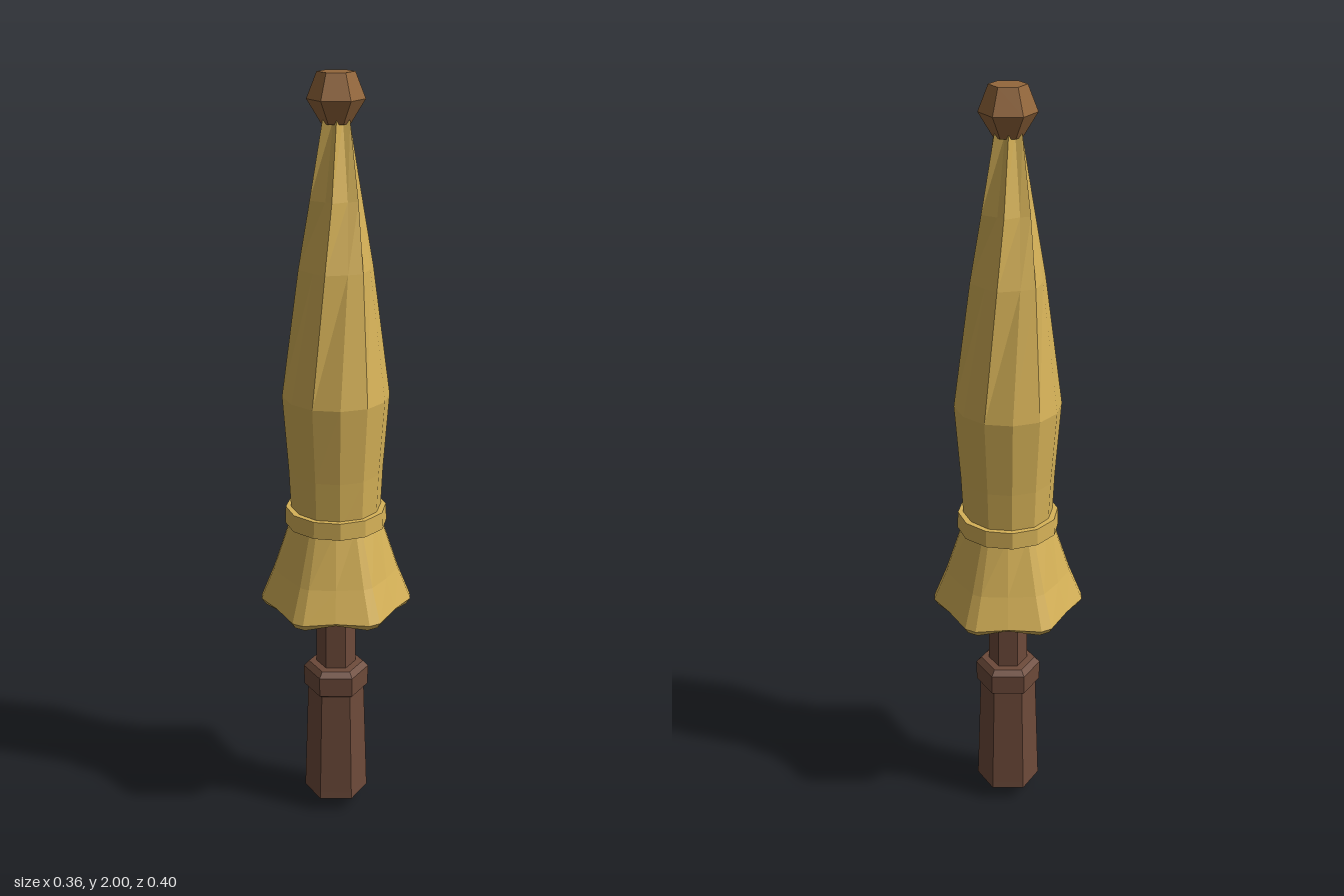
import * as THREE from 'three';

const mat = (name, color) => {
  const m = new THREE.MeshStandardMaterial({ color, flatShading: true });
  m.name = name;
  return m;
};

// Joins rings of points (listed from the bottom up the outside) into faceted skin
function loft(rings) {
  const pos = [];
  for (let i = 0; i < rings.length - 1; i++) {
    const lo = rings[i], hi = rings[i + 1], n = lo.length;
    for (let j = 0; j < n; j++) {
      const k = (j + 1) % n;
      for (const p of [lo[j], lo[k], hi[k], lo[j], hi[k], hi[j]]) pos.push(...p);
    }
  }
  const g = new THREE.BufferGeometry();
  g.setAttribute('position', new THREE.Float32BufferAttribute(pos, 3));
  g.computeVertexNormals();
  return g;
}

const point = (r, deg, y) => {
  const a = THREE.MathUtils.degToRad(deg);
  return [r * Math.sin(a), y, r * Math.cos(a)];
};

// Pleated ring: outer fold edges alternate with inner creases, turned by twist
function pleatRing(y, rOut, rIn, twist, lean = 0) {
  return Array.from({ length: 12 }, (_, i) =>
    point(i % 2 ? rIn : rOut, i * 30 + twist + (i % 2 ? lean : 0), y));
}

// Six-cornered skirt ring with blunt corners and bowed sides
function skirtRing(rCorner, rMid, yCorner, yMid) {
  const ring = [];
  for (let i = 0; i < 6; i++) {
    ring.push(point(rCorner, i * 60 - 4, yCorner), point(rCorner, i * 60 + 5, yCorner));
    ring.push(point(rMid, i * 60 + 30, yMid));
  }
  return ring;
}

export function createModel() {
  const model = new THREE.Group();
  const cloth = mat('goldCloth', 0xd6b258);
  const wood = mat('darkWood', 0x6d4a3a);
  const tipWood = mat('tipWood', 0x94673c);

  const add = (name, geometry, material, parent = model) => {
    const mesh = new THREE.Mesh(geometry, material);
    mesh.name = name;
    parent.add(mesh);
    return mesh;
  };
  const hexLathe = (pts) => new THREE.LatheGeometry(pts.map(([r, y]) => new THREE.Vector2(r, y)), 6);

  // Handle, grip collar and shaft
  add('handle', hexLathe([[0, 0], [0.05, 0.022], [0.087, 0.04], [0.086, 0.06], [0.076, 0.37]]), wood);
  add('collar', hexLathe([[0.07, 0.355], [0.087, 0.365], [0.088, 0.42], [0.074, 0.435], [0.04, 0.437]]), wood);
  const shaft = add('shaft', new THREE.CylinderGeometry(0.05, 0.053, 1.48, 6), wood);
  shaft.scale.set(1, 0.4, 1);
  shaft.position.y = 0.42 + 0.296;

  // Folded canopy
  const canopy = new THREE.Group();
  canopy.name = 'canopy';
  model.add(canopy);

  add('upperCloth', loft([
    pleatRing(0.87, 0.117, 0.115, 5),
    pleatRing(1.0, 0.123, 0.121, 5),
    pleatRing(1.2, 0.138, 0.136, 5),
    pleatRing(1.53, 0.096, 0.086, 14, 6),
    pleatRing(1.7, 0.069, 0.054, 22, 10),
    pleatRing(1.89, 0.038, 0.024, 32, 12),
  ]), cloth, canopy);

  // Flared skirt: inside, rolled hem, outside
  add('skirt', loft([
    skirtRing(0.1, 0.1, 0.87, 0.87),
    skirtRing(0.125, 0.12, 0.77, 0.77),
    skirtRing(0.182, 0.164, 0.63, 0.645),
    skirtRing(0.188, 0.17, 0.615, 0.628),
    skirtRing(0.2, 0.181, 0.632, 0.638),
    skirtRing(0.165, 0.153, 0.72, 0.72),
    skirtRing(0.116, 0.114, 0.87, 0.87),
  ]), cloth, canopy);

  // Strap holding the cloth shut
  const strap = add('strap', new THREE.CylinderGeometry(0.132, 0.134, 0.045, 12), cloth, canopy);
  strap.position.y = 0.875;
  strap.rotation.y = THREE.MathUtils.degToRad(5);

  // Faceted knob on top
  add('tipKnob', hexLathe([[0, 1.88], [0.036, 1.88], [0.071, 1.937], [0.046, 2.0], [0, 2.0]]), tipWood);

  return model;
}
